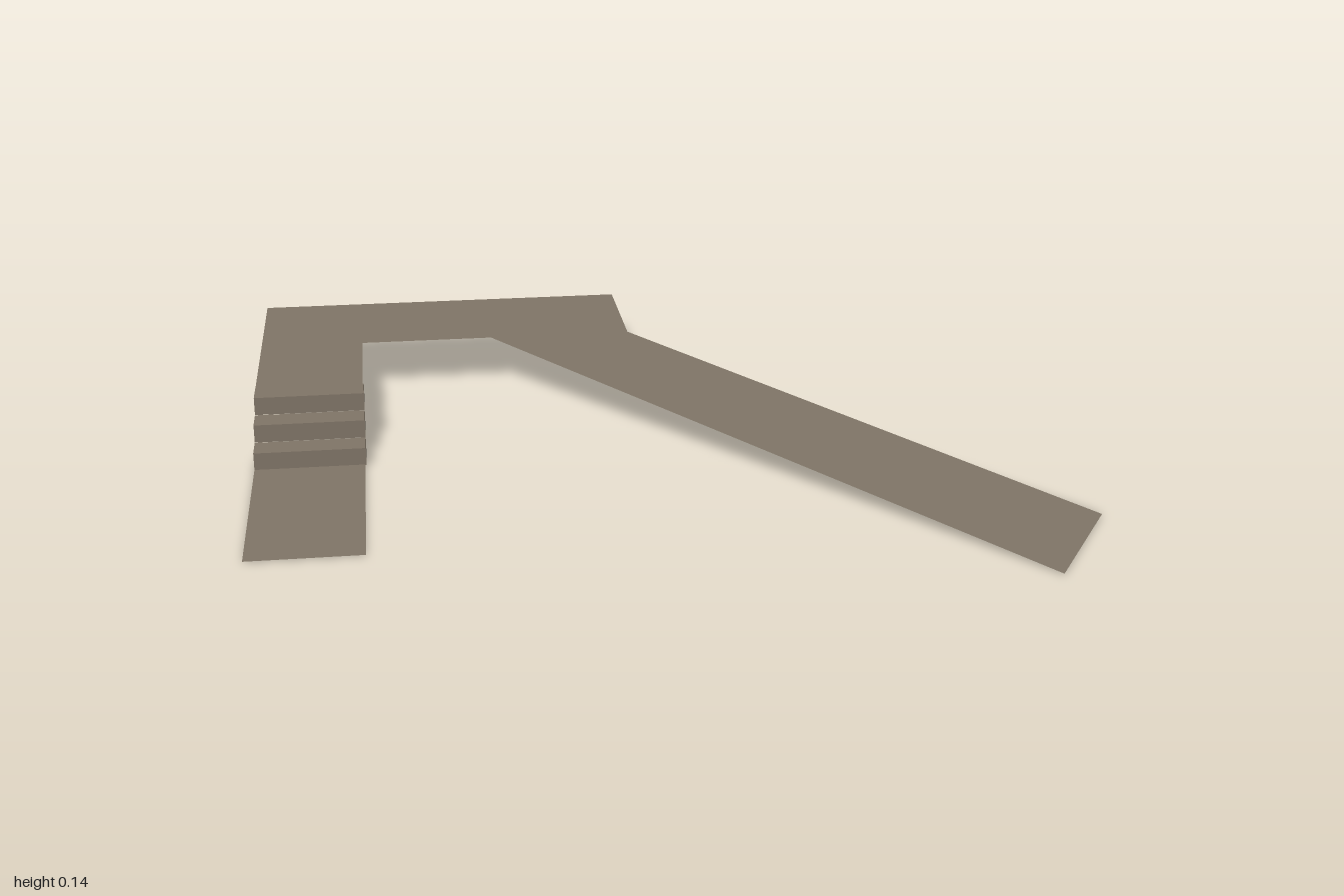
import * as THREE from 'three';

export function createModel() {
  const group = new THREE.Group();
  const stone = new THREE.MeshStandardMaterial({ color: 0x807567, side: THREE.DoubleSide });
  stone.name = 'stone';

  const add = (name, geometry) => {
    const mesh = new THREE.Mesh(geometry, stone);
    mesh.name = name;
    group.add(mesh);
    return mesh;
  };

  // Flat paving from an outline of [x, z] points, facing up
  const paving = (name, outline, y) => {
    const shape = new THREE.Shape(outline.map(([x, z]) => new THREE.Vector2(x, -z)));
    add(name, new THREE.ShapeGeometry(shape).rotateX(-Math.PI / 2)).position.y = y;
  };

  const left = -1, right = -0.725;

  // Lower walkway and L-shaped upper landing
  paving('lowerPath', [[left, 0.595], [right, 0.595], [right, 0.035], [left, 0.035]], 0.002);
  paving('upperLanding', [
    [left, -0.19], [right, -0.19], [right, -0.54],
    [0.015, -0.54], [0.015, -0.91], [left, -0.91],
  ], 0.136);

  // Three block steps, rising towards the back
  const rise = 0.046, tread = 0.075;
  for (let i = 0; i < 3; i++) {
    add('step' + (i + 1), new THREE.BoxGeometry(0.278, rise, tread))
      .position.set(-0.861, rise * (i + 0.5), 0.001 - i * 0.077);
  }

  // Long sloping ramp: a plane sheared into a parallelogram
  const ramp = new THREE.PlaneGeometry(1, 1);
  const p = ramp.attributes.position;
  for (let i = 0; i < p.count; i++) {
    const across = p.getX(i) + 0.5, up = p.getY(i) + 0.5;
    p.setXYZ(i, 0.8 + 0.2 * across - 1.2 * up, 0.003 + 0.13 * up, 0.91 - 0.31 * across - 1.51 * up);
  }
  ramp.computeVertexNormals();
  add('ramp', ramp);

  return group;
}
